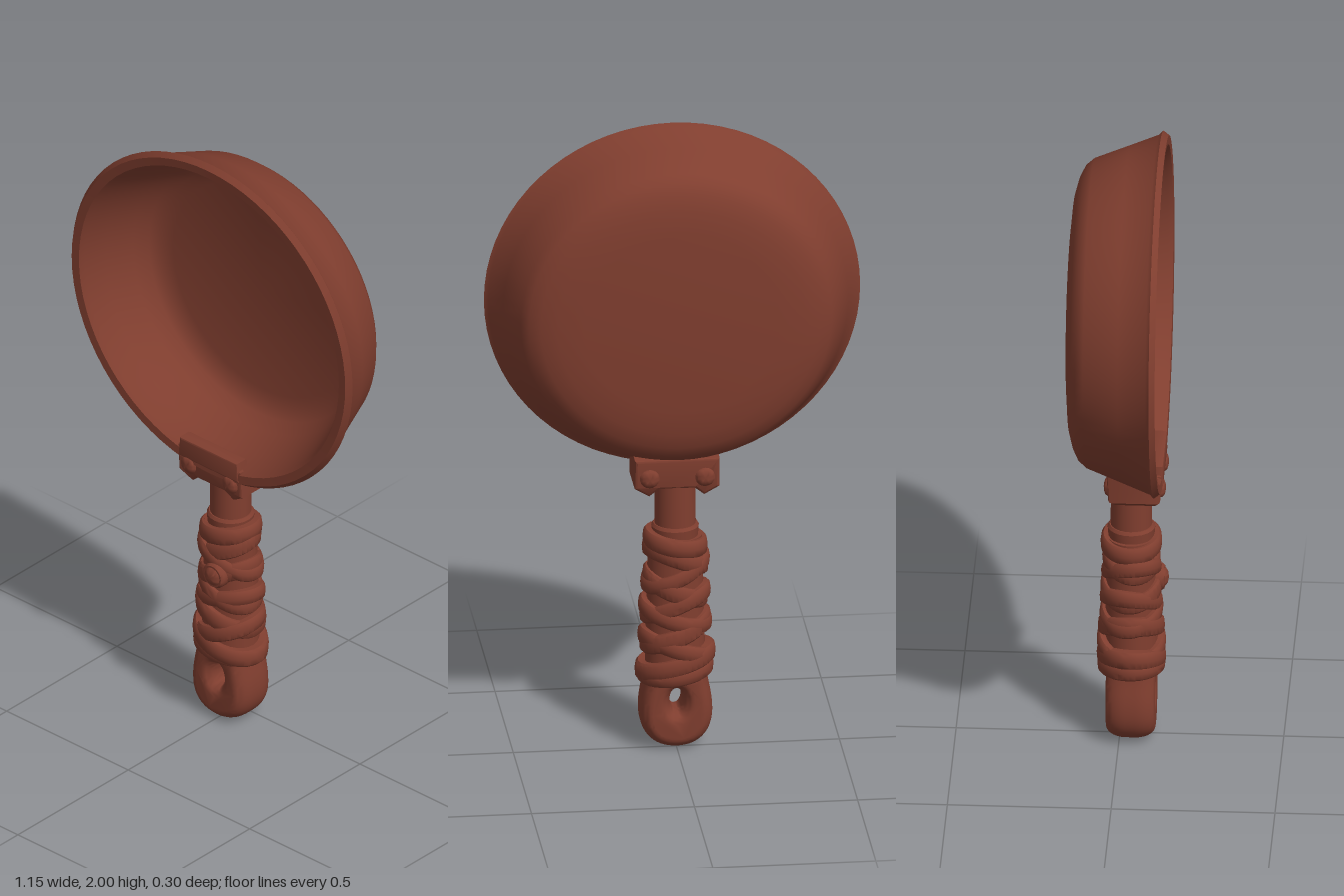
import * as THREE from 'three';
import { mergeVertices, toCreasedNormals } from 'three/addons/utils/BufferGeometryUtils.js';

const clay = new THREE.MeshStandardMaterial({ color: 0x803e2f });
clay.name = 'reddish brown';

const HANDLE_Z = 0.035;

// Smooth surface with sharp edges kept above the given angle
function crease(geometry, angle = 0.6) {
  geometry.deleteAttribute('uv');
  geometry.deleteAttribute('normal');
  return toCreasedNormals(mergeVertices(geometry, 1e-4), angle);
}

function lathe(points, segments) {
  return new THREE.LatheGeometry(points.map(([r, y]) => new THREE.Vector2(r, y)), segments);
}

function outline(points) {
  return new THREE.Shape(points.map(([x, y]) => new THREE.Vector2(x, y)));
}

export function createModel() {
  const group = new THREE.Group();
  const add = (name, geometry, x = 0, y = 0, z = 0) => {
    const mesh = new THREE.Mesh(geometry, clay);
    mesh.name = name;
    mesh.position.set(x, y, z);
    group.add(mesh);
    return mesh;
  };

  // Bowl: outside from the back centre to the rim, then inside to the floor
  const bowl = lathe([
    [0, -0.152], [0.3, -0.15], [0.38, -0.143], [0.43, -0.13], [0.465, -0.113], [0.487, -0.088],
    [0.53, 0.02], [0.565, 0.107], [0.577, 0.118], [0.563, 0.136], [0.535, 0.134],
    [0.525, 0.118], [0.5, 0.05], [0.465, -0.035], [0.44, -0.08], [0.415, -0.1], [0.37, -0.112], [0, -0.115],
  ], 72);
  bowl.rotateX(Math.PI / 2);
  bowl.scale(1, 0.965, 1);
  add('bowl', crease(bowl, 0.55), 0, 1.444, 0);

  // Bracket clamped around the rim, narrower front to back at its lower edge
  const clamp = new THREE.ExtrudeGeometry(outline([
    [-0.122, 0.945], [-0.122, 0.862], [-0.085, 0.838], [-0.058, 0.862],
    [0.058, 0.862], [0.085, 0.838], [0.122, 0.862], [0.122, 0.945],
  ]), { depth: 0.152, bevelEnabled: true, bevelSize: 0.008, bevelThickness: 0.008, bevelSegments: 2 });
  clamp.translate(0, 0, -0.076);
  const cp = clamp.attributes.position;
  for (let i = 0; i < cp.count; i++) {
    const t = THREE.MathUtils.clamp((0.875 - cp.getY(i)) / 0.045, 0, 1);
    cp.setZ(i, cp.getZ(i) * (1 - 0.2 * t));
  }
  add('bracket', crease(clamp, 0.5), 0, 0, 0.05);

  // Hooked lip of the bracket over the rim
  const lip = new THREE.ExtrudeGeometry(outline([
    [-0.118, 0.92], [0.118, 0.92], [0.112, 0.975], [-0.112, 0.975],
  ]), { depth: 0.035, bevelEnabled: true, bevelSize: 0.006, bevelThickness: 0.006, bevelSegments: 2 });
  add('bracketLip', crease(lip, 0.5), 0, 0, 0.097);

  // Rivets on both faces of the bracket
  const dome = lathe([[0.03, -0.02], [0.03, 0.003], [0.024, 0.01], [0.012, 0.014], [0, 0.015]], 18);
  dome.rotateX(Math.PI / 2);
  const rivet = crease(dome, 0.8);
  for (const side of [-1, 1]) {
    add('frontRivet', rivet, side * 0.085, 0.893, 0.13);
    add('backRivet', rivet, side * 0.085, 0.893, -0.03).rotation.y = Math.PI;
  }

  // Neck, collar and the core under the wrapping
  add('neck', new THREE.CylinderGeometry(0.062, 0.064, 0.22, 24), 0, 0.79, HANDLE_Z);
  const collar = lathe([[0, -0.025], [0.07, -0.025], [0.073, 0.015], [0.067, 0.024], [0, 0.024]], 24);
  add('collar', crease(collar), 0, 0.7, HANDLE_Z);
  const core = new THREE.CylinderGeometry(0.083, 0.094, 0.46, 28);
  core.scale(1, 1, 0.9);
  add('gripCore', core, 0, 0.455, HANDLE_Z);

  // Wrapping: tilted bands [height, radius, width, tilt, direction of the high side]
  const bands = [
    [0.665, 0.099, 0.055, 0.014, 1.5],
    [0.615, 0.097, 0.056, 0.034, 1.9],
    [0.57, 0.102, 0.05, 0.04, -1.3],
    [0.52, 0.1, 0.06, 0.036, 1.4],
    [0.465, 0.105, 0.052, 0.042, -1.8],
    [0.43, 0.108, 0.05, 0.03, 1.2],
    [0.375, 0.109, 0.06, 0.038, -1.5],
    [0.325, 0.113, 0.052, 0.035, 1.8],
    [0.275, 0.118, 0.056, 0.03, -1.7],
    [0.247, 0.114, 0.05, 0.012, -1.2],
  ];
  for (const [y, r, w, tilt, phase] of bands) {
    const h = w / 2;
    const band = lathe([
      [r - 0.035, -h], [r - 0.006, -h], [r + 0.001, -h + 0.007], [r + 0.003, 0],
      [r, h - 0.007], [r - 0.007, h], [r - 0.035, h],
    ], 36);
    const p = band.attributes.position;
    for (let i = 0; i < p.count; i++) {
      const a = Math.atan2(p.getX(i), p.getZ(i));
      const swell = 1 + 0.025 * Math.sin(2 * a + y * 40);
      p.setXYZ(i, p.getX(i) * swell, p.getY(i) + tilt * Math.cos(a - phase), p.getZ(i) * swell * 0.9);
    }
    add('wrapBand', crease(band, 0.7), 0, y, HANDLE_Z);
  }

  // Round stud pinning the wrapping
  const stud = lathe([
    [0.042, -0.03], [0.042, 0], [0.036, 0.008], [0.03, 0.008], [0.028, 0.011], [0.017, 0.018], [0, 0.021],
  ], 24);
  stud.rotateX(Math.PI / 2);
  add('wrapStud', crease(stud, 0.7), 0.015, 0.533, 0.128);

  // Hanging loop at the end of the handle, with a rounded edge and an oval hole
  const loop = new THREE.Shape();
  loop.moveTo(-0.094, 0.25);
  loop.bezierCurveTo(-0.098, 0.2, -0.112, 0.17, -0.112, 0.115);
  loop.bezierCurveTo(-0.112, 0.04, -0.065, 0, 0, 0);
  loop.bezierCurveTo(0.065, 0, 0.112, 0.04, 0.112, 0.115);
  loop.bezierCurveTo(0.112, 0.17, 0.098, 0.2, 0.094, 0.25);
  const hole = new THREE.Path();
  hole.absellipse(0, 0.153, 0.019, 0.036, 0, Math.PI * 2, true);
  loop.holes.push(hole);
  const ring = new THREE.ExtrudeGeometry(loop, {
    depth: 0.03, curveSegments: 14, bevelEnabled: true,
    bevelSize: 0.036, bevelThickness: 0.06, bevelOffset: -0.036, bevelSegments: 7,
  });
  ring.translate(0, 0, -0.015);
  add('hangingLoop', crease(ring, 0.8), 0, 0, HANDLE_Z);

  return group;
}
